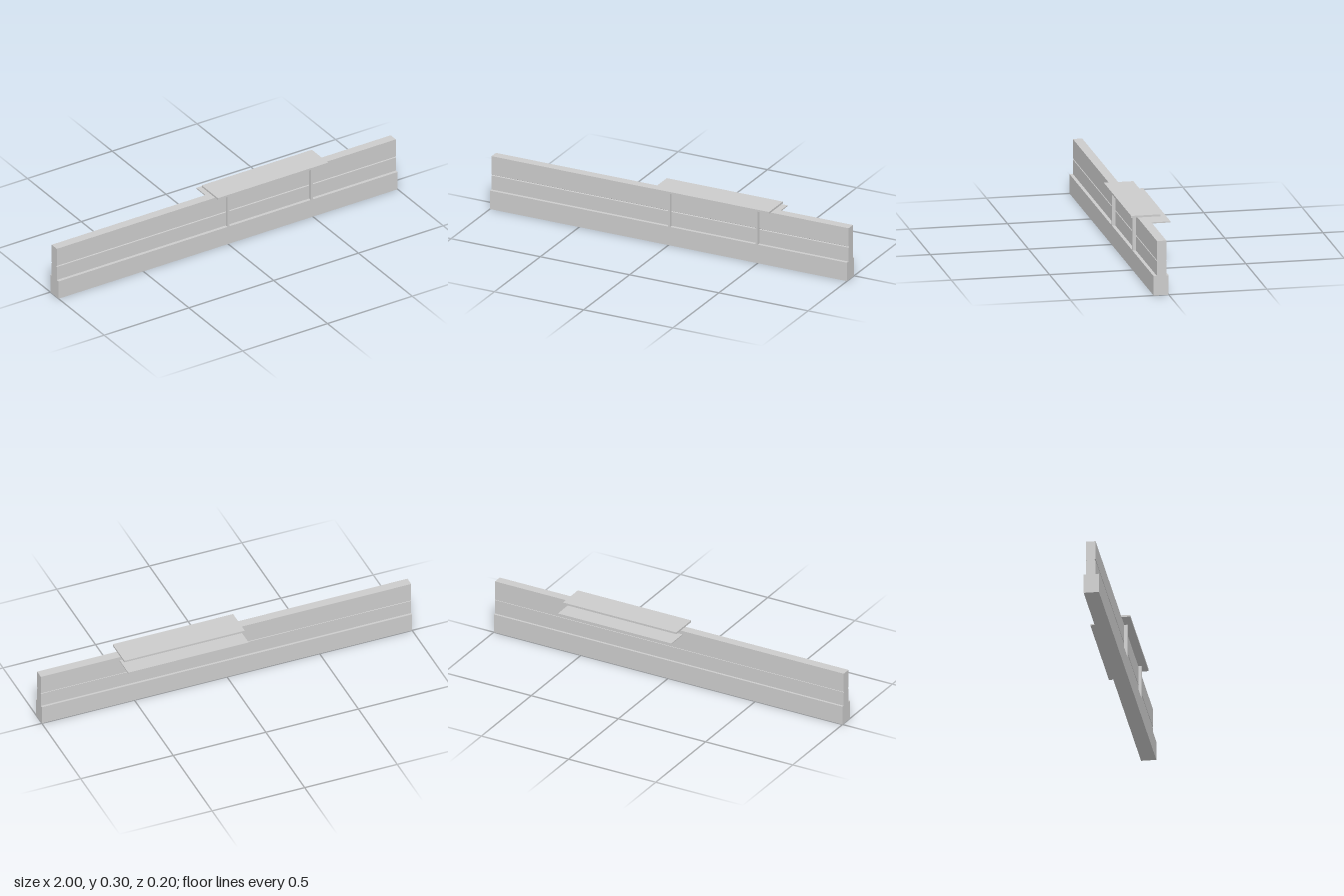
import * as THREE from 'three';

export function createModel() {
  const model = new THREE.Group();
  const grey = new THREE.MeshStandardMaterial({ color: 0xcccccc });
  grey.name = 'light grey';

  function add(name, geometry, x, y, z) {
    const mesh = new THREE.Mesh(geometry, grey);
    mesh.name = name;
    mesh.position.set(x, y, z);
    model.add(mesh);
  }

  // Box given by its lower and upper limits
  function block(name, [x0, x1], [y0, y1], [z0, z1]) {
    add(name, new THREE.BoxGeometry(x1 - x0, y1 - y0, z1 - z0),
      (x0 + x1) / 2, (y0 + y1) / 2, (z0 + z1) / 2);
  }

  // Wall on a wider footing, with a long groove on each side: [z, y] section
  const front = 0.06, back = 0.012, grooveY = 0.178;
  const section = [
    [0, 0], [0.077, 0], [0.077, 0.1], [front, 0.1],
    [front, grooveY - 0.003], [front - 0.003, grooveY - 0.003],
    [front - 0.005, grooveY], [front - 0.003, grooveY + 0.003], [front, grooveY + 0.003],
    [front, 0.28], [back, 0.28],
    [back, grooveY + 0.003], [back + 0.002, grooveY + 0.002],
    [back + 0.002, grooveY - 0.002], [back, grooveY - 0.003],
    [back, 0.1], [0, 0.1],
  ];
  const shape = new THREE.Shape(section.map(([z, y]) => new THREE.Vector2(-z, y)));
  const wall = new THREE.ExtrudeGeometry(shape, { depth: 2, bevelEnabled: false });
  wall.rotateY(Math.PI / 2);
  add('groovedWall', wall, -1, 0, 0);

  // Front posts standing on the ledge, and short pins carrying the top board
  for (const x of [0.003, 0.494]) {
    block('frontPost', [x - 0.006, x + 0.006], [0.1, 0.28], [front, 0.077]);
    add('supportPin', new THREE.CylinderGeometry(0.009, 0.009, 0.01, 16), x, 0.285, 0.0365);
  }

  // Top board and the thin shelf behind the wall
  block('topBoard', [-0.075, 0.575], [0.29, 0.3], [-0.05, 0.1]);
  block('rearShelf', [-0.075, 0.575], [0.255, 0.261], [-0.1, back]);

  return model;
}
